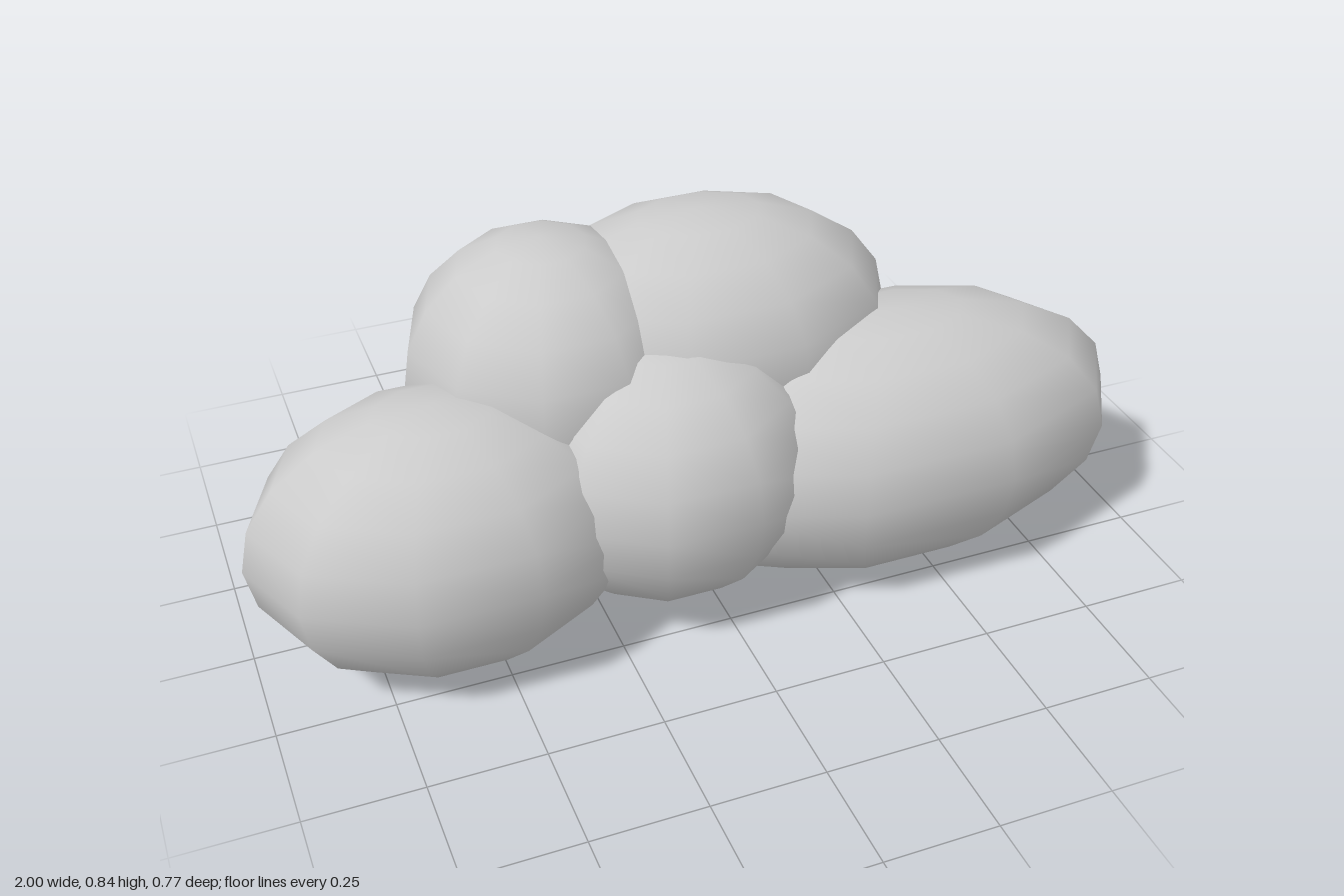
import * as THREE from 'three';

const HEIGHT = 0.307; // shared vertical and depth radius of every puff

export function createModel() {
  const group = new THREE.Group();
  group.name = 'cloud';
  const material = new THREE.MeshStandardMaterial({ color: 0xcccccc });
  const sphere = new THREE.SphereGeometry(1, 10, 10);

  // One stretched puff: name, half width, centre
  const addPuff = (name, halfWidth, x, y, z) => {
    const puff = new THREE.Mesh(sphere, material);
    puff.name = name;
    puff.scale.set(halfWidth, HEIGHT, HEIGHT);
    puff.position.set(x, y, z);
    group.add(puff);
  };

  // Lower front row
  addPuff('frontRightPuff', 0.415, -0.585, 0.31, 0.093);
  addPuff('frontMiddlePuff', 0.337, -0.091, 0.358, 0.093);
  addPuff('frontLeftPuff', 0.573, 0.425, 0.31, 0.093);

  // Raised back row
  addPuff('backRightPuff', 0.31, -0.291, 0.534, -0.093);
  addPuff('backLeftPuff', 0.45, 0.056, 0.534, -0.093);

  return group;
}
